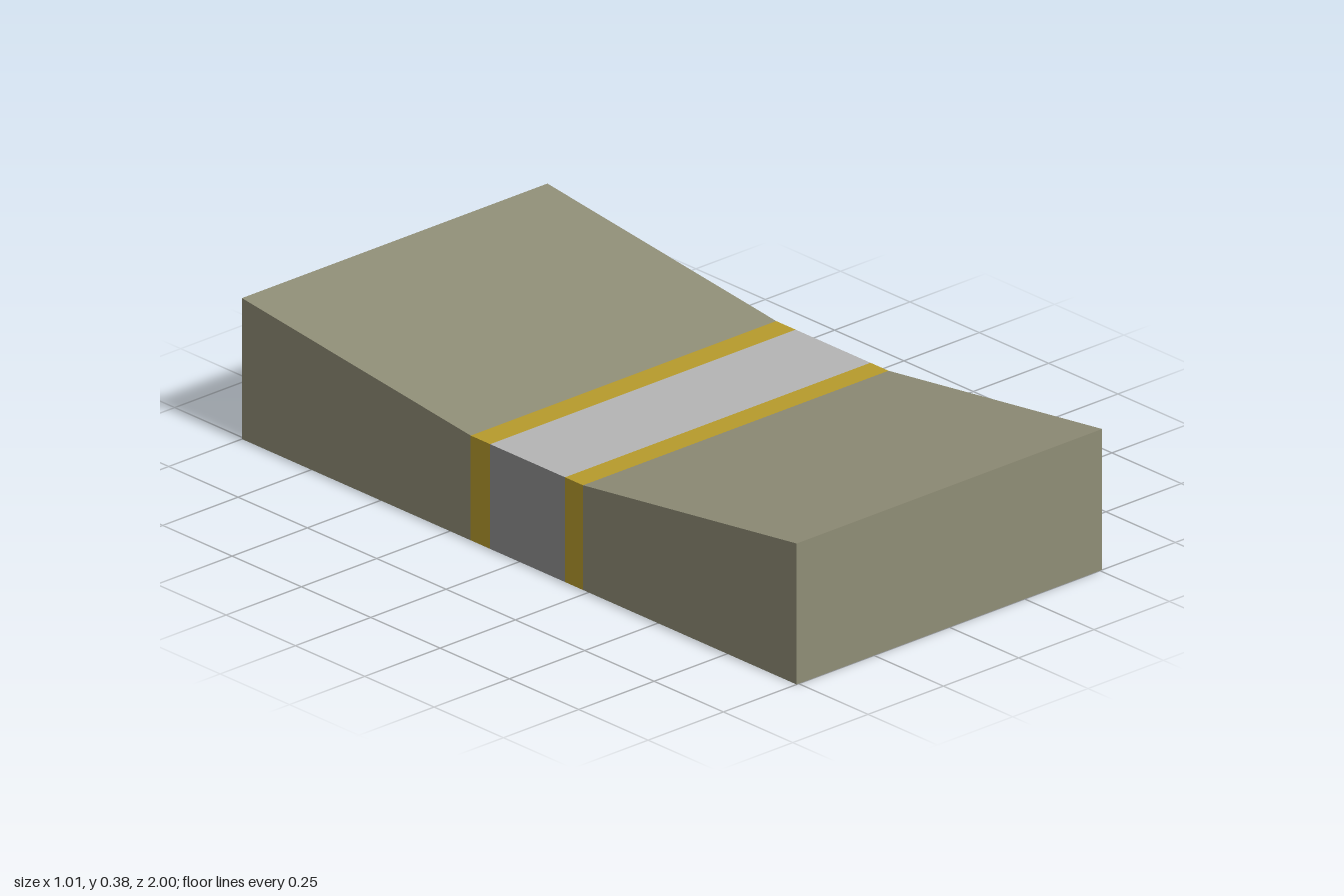
import * as THREE from 'three';

const WIDTH = 1.014, DIP = 0.28, RIM = 0.377;

function material(name, color) {
  const m = new THREE.MeshStandardMaterial({ color });
  m.name = name;
  return m;
}

export function createModel() {
  const olive = material('olive', 0x8f8d76);
  const gold = material('gold', 0xb69a2c);
  const grey = material('grey', 0x8f8f8f);
  const paleGrey = material('paleGrey', 0xb4b4b4);
  const group = new THREE.Group();
  group.name = 'dippedBlock';

  // Block spanning z0..z1 whose top runs from height h0 to h1
  function section(name, z0, z1, h0, h1, mat) {
    const geo = new THREE.BoxGeometry(WIDTH, 1, z1 - z0).toNonIndexed();
    geo.translate(0, 0.5, (z0 + z1) / 2);
    const p = geo.attributes.position;
    const middle = (z0 + z1) / 2;
    for (let i = 0; i < p.count; i++) {
      if (p.getY(i) > 0.5) p.setY(i, p.getZ(i) < middle ? h0 : h1);
    }
    geo.computeVertexNormals();
    const mesh = new THREE.Mesh(geo, mat);
    mesh.name = name;
    group.add(mesh);
  }

  // Sloping ends
  section('backRamp', -1, -0.175, RIM, DIP, olive);
  section('frontRamp', 0.23, 1, DIP, RIM, olive);

  // Gold bands on either side of the flat middle
  section('backBand', -0.175, -0.105, DIP, DIP, gold);
  section('frontBand', 0.165, 0.23, DIP, DIP, gold);

  // Flat middle with a paler top face
  section('middleStrip', -0.105, 0.165, DIP, DIP, [grey, grey, paleGrey, grey, grey, grey]);

  return group;
}
